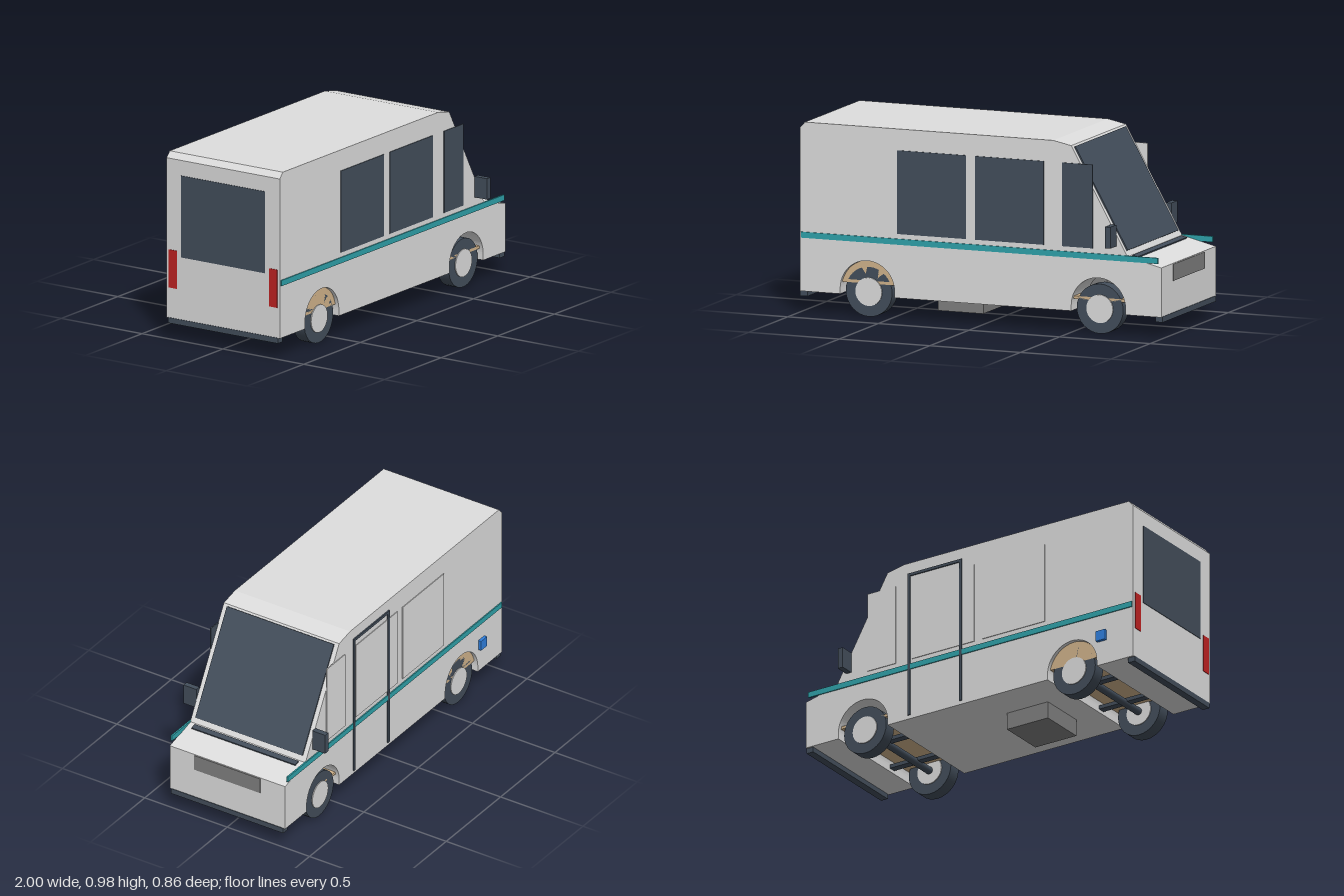
import * as THREE from 'three';

const mat = (name, color) => {
  const m = new THREE.MeshStandardMaterial({ color });
  m.name = name;
  return m;
};

export function createModel() {
  const van = new THREE.Group();
  van.name = 'van';
  const white = mat('body white', 0xdedede);
  const dark = mat('dark slate', 0x434e5b);
  const grey = mat('mid grey', 0x808080);
  const teal = mat('teal', 0x2fa3ab);
  const tan = mat('tan', 0xd2b48c);
  const red = mat('red', 0xc02222);
  const blue = mat('blue', 0x2f80e0);

  const add = (name, geo, material, parent = van) => {
    const mesh = new THREE.Mesh(geo, material);
    mesh.name = name;
    parent.add(mesh);
    return mesh;
  };
  // Box given by its limits on each axis
  const box = (name, material, [x0, x1], [y0, y1], [z0, z1]) => {
    const mesh = add(name, new THREE.BoxGeometry(x1 - x0, y1 - y0, z1 - z0), material);
    mesh.position.set((x0 + x1) / 2, (y0 + y1) / 2, (z0 + z1) / 2);
    return mesh;
  };
  // Limits along z for a part on side s, from inner to outer distance
  const side = (s, inner, outer) => (s > 0 ? [inner, outer] : [-outer, -inner]);

  // Body shell: side profile with wheel arches, extruded across the width
  const E = 0.997;
  const axles = { rear: -0.625, front: 0.65 };
  const profile = new THREE.Shape();
  profile.moveTo(-E, 0.11);
  for (const x of Object.values(axles)) {
    profile.lineTo(x - 0.15, 0.11);
    profile.absarc(x, 0.14, 0.15, Math.PI, 0, true);
    profile.lineTo(x + 0.15, 0.11);
  }
  [[E, 0.11], [E, 0.365], [0.81, 0.41], [0.5, 0.96], [0.4, 0.98], [-0.97, 0.98], [-E, 0.95]]
    .forEach(([x, y]) => profile.lineTo(x, y));
  const shell = new THREE.ExtrudeGeometry(profile, { depth: 0.7, bevelEnabled: false, curveSegments: 20 });
  shell.translate(0, 0, -0.35);
  add('body', shell, white);

  // Interior floor, rear wheel housing and front step seen through the arches
  box('floor', tan, [-0.9, 0.9], [0.17, 0.185], [-0.33, 0.33]);
  const housing = new THREE.Shape();
  housing.absarc(axles.rear, 0.14, 0.149, Math.PI - 0.2, 0.2, true);
  const housingGeo = new THREE.ExtrudeGeometry(housing, { depth: 0.66, bevelEnabled: false, curveSegments: 20 });
  housingGeo.translate(0, 0, -0.33);
  add('rearWheelHousing', housingGeo, tan);
  box('frontStep', grey, [0.52, 0.61], [0.185, 0.28], [-0.15, 0.15]);

  // Chassis rails and underfloor box
  for (const s of [1, -1]) {
    box('chassisRail', dark, [-0.9, 0.9], [0.128, 0.148], side(s, 0.12, 0.16));
  }
  box('underfloorBox', grey, [-0.33, -0.08], [0.02, 0.112], [-0.13, 0.13]);

  // Axles, tyres and hubs
  for (const [end, x] of Object.entries(axles)) {
    const axle = add(end + 'Axle', new THREE.CylinderGeometry(0.02, 0.02, 0.54, 16), dark);
    axle.rotation.x = Math.PI / 2;
    axle.position.set(x, 0.128, 0);
    for (const s of [1, -1]) {
      const wheel = new THREE.Group();
      wheel.name = end + 'Wheel';
      add('tyre', new THREE.CylinderGeometry(0.128, 0.128, 0.07, 32), dark, wheel);
      add('hub', new THREE.CylinderGeometry(0.073, 0.073, 0.08, 28), white, wheel);
      wheel.rotation.x = Math.PI / 2;
      wheel.position.set(x, 0.128, s * 0.295);
      van.add(wheel);
    }
  }

  // Side parts: windows on the right, blank panels on the left, stripes, mirrors
  for (const s of [1, -1]) {
    for (const span of [[-0.46, -0.08], [-0.03, 0.35], [0.45, 0.62]]) {
      box(s > 0 ? 'sideWindow' : 'sidePanel', s > 0 ? dark : white, span, [0.44, 0.87], side(s, 0.348, 0.354));
    }
    box('sideStripe', teal, [-0.99, 0.98], [0.385, 0.415], side(s, 0.347, 0.356));
    box('mirror', dark, [0.72, 0.75], [0.46, 0.57], side(s, 0.352, 0.43));
  }

  // Windscreen lying on the sloping front
  const screen = add('windscreen', new THREE.BoxGeometry(0.591, 0.008, 0.65), dark);
  screen.rotation.z = Math.atan2(-0.55, 0.31);
  screen.position.set(0.653, 0.694, 0);

  // Bonnet vent, grille and bumpers
  const vent = add('bonnetVent', new THREE.BoxGeometry(0.03, 0.008, 0.63), dark);
  vent.rotation.z = Math.atan2(-0.045, 0.187);
  vent.position.set(0.836, 0.407, 0);
  box('grille', grey, [0.992, 1], [0.275, 0.36], [-0.2, 0.2]);
  box('frontBumper', dark, [0.96, 1], [0.083, 0.112], [-0.34, 0.34]);
  box('rearBumper', dark, [-1, -0.96], [0.083, 0.112], [-0.34, 0.34]);

  // Rear window and tail lights
  box('rearWindow', dark, [-1, -0.992], [0.44, 0.87], [-0.26, 0.26]);
  for (const s of [1, -1]) {
    box('tailLight', red, [-1, -0.992], [0.27, 0.47], side(s, 0.285, 0.335));
  }

  // Left side door frame and fuel cap
  for (const x of [0.045, 0.36]) {
    box('doorPost', dark, [x, x + 0.015], [0.13, 0.92], side(-1, 0.348, 0.357));
  }
  box('doorHeader', dark, [0.045, 0.375], [0.905, 0.92], side(-1, 0.348, 0.357));
  box('fuelCap', blue, [-0.835, -0.78], [0.24, 0.295], side(-1, 0.345, 0.367));

  return van;
}
